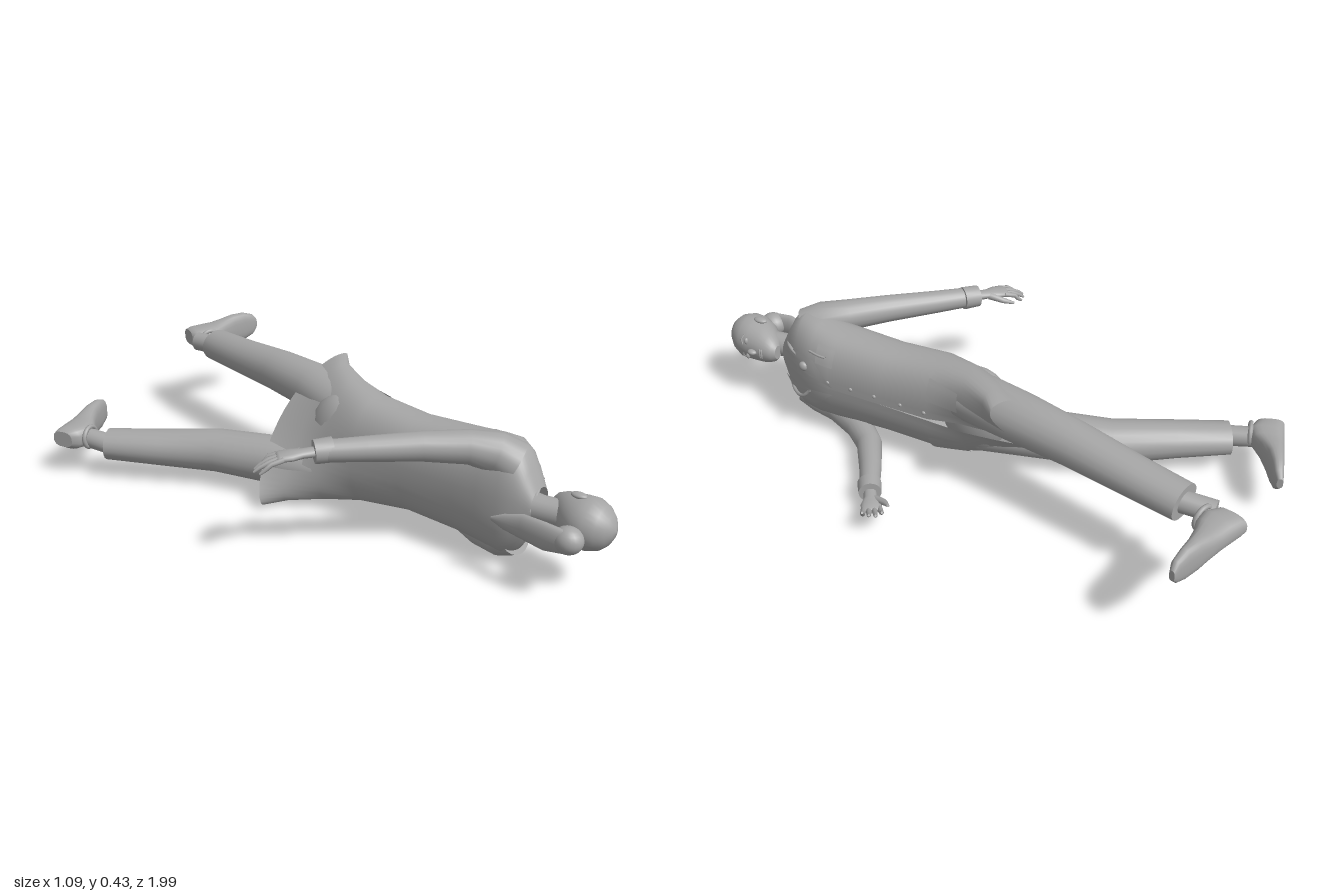
import * as THREE from 'three';

const V = (x, y, z) => new THREE.Vector3(x, y, z);
const CY = 0.225; // sideways middle of the reclining figure
const grey = new THREE.MeshStandardMaterial({ color: 0xa6a6a6, side: THREE.DoubleSide });
grey.name = 'plain grey';

// Indexed surface over a grid of points; fn(i, j) gives each point
function grid(rows, cols, fn, wrap, caps) {
  const pos = [], idx = [];
  for (let i = 0; i < rows; i++) for (let j = 0; j < cols; j++) pos.push(...fn(i, j).toArray());
  const last = wrap ? cols : cols - 1;
  for (let i = 0; i < rows - 1; i++) for (let j = 0; j < last; j++) {
    const a = i * cols + j, b = i * cols + (j + 1) % cols;
    idx.push(a, b, b + cols, a, b + cols, a + cols);
  }
  if (caps) for (const i of [0, rows - 1]) {
    const start = pos.length / 3, mid = V(0, 0, 0);
    for (let j = 0; j < cols; j++) { const p = fn(i, j); mid.addScaledVector(p, 1 / cols); pos.push(...p.toArray()); }
    pos.push(...mid.toArray());
    for (let j = 0; j < cols; j++) {
      const a = start + j, b = start + (j + 1) % cols;
      idx.push(start + cols, ...(i ? [a, b] : [b, a]));
    }
  }
  const g = new THREE.BufferGeometry();
  g.setAttribute('position', new THREE.Float32BufferAttribute(pos, 3));
  g.setIndex(idx);
  g.computeVertexNormals();
  return g;
}

// Loft through rings [x, y, z, radiusU, radiusV]; up is the V direction
function loft(rings, { up = V(0, 1, 0), dir = null, power = 1, sides = 20 } = {}) {
  const c = rings.map(r => V(r[0], r[1], r[2])), n = rings.length;
  const pw = s => Math.sign(s) * Math.abs(s) ** power;
  return grid(n, sides, (i, j) => {
    const t = dir || c[Math.min(i + 1, n - 1)].clone().sub(c[Math.max(i - 1, 0)]).normalize();
    const u = up.clone().cross(t).normalize(), v = t.clone().cross(u), a = j / sides * Math.PI * 2;
    const [, , , ru, rv = ru] = rings[i];
    return c[i].clone().addScaledVector(u, ru * pw(Math.cos(a))).addScaledVector(v, rv * pw(Math.sin(a)));
  }, true, true);
}

// Coat sections, hem to collar: z, back x, front x, half width, shear, front gap
const COAT = [
  [-0.22, -0.10, 0.10, 0.205, 1.0, 0.14], [-0.11, -0.105, 0.11, 0.2, 0.68, 0.12],
  [0, -0.11, 0.12, 0.19, 0.32, 0.08], [0.12, -0.115, 0.13, 0.175, 0.08, 0.01],
  [0.3, -0.105, 0.128, 0.16, 0, 0], [0.5, -0.11, 0.13, 0.17, 0, 0],
  [0.58, -0.112, 0.12, 0.18, 0, 0], [0.65, -0.11, 0.095, 0.188, 0, 0],
  [0.69, -0.1, 0.075, 0.165, 0, 0], [0.72, -0.09, 0.055, 0.115, 0, 0],
  [0.75, -0.078, 0.03, 0.06, 0, 0],
];
function coatFront(z, y) {
  let i = 0;
  while (i < COAT.length - 2 && COAT[i + 1][0] < z) i++;
  const k = (z - COAT[i][0]) / (COAT[i + 1][0] - COAT[i][0]);
  const [, b, f, w, s] = COAT[i].map((v, n) => v + (COAT[i + 1][n] - v) * k);
  const q = Math.min(Math.abs(y - CY) / w, 1) ** (1 / 0.85);
  return (b + f) / 2 + (f - b) / 2 * Math.sqrt(1 - q * q) ** 0.85 + s * (y - CY);
}
function coatBody() {
  const pw = s => Math.sign(s) * Math.abs(s) ** 0.85;
  return grid(COAT.length, 49, (i, j) => {
    const [z, b, f, w, s, gap] = COAT[i], a = gap + (Math.PI * 2 - 2 * gap) * j / 48;
    const dy = w * pw(Math.sin(a)), x = (b + f) / 2 + (f - b) / 2 * pw(Math.cos(a)) + s * dy;
    return V(x, CY + dy, i ? z : z + 1.3 * x * dy); // hem tilts with each leg
  });
}
// Thin panel lying on the coat front; corners are [z, y]
function panel(corners, lift = 0.008) {
  return grid(6, 6, (i, j) => {
    const m = (n) => THREE.MathUtils.lerp(
      THREE.MathUtils.lerp(corners[0][n], corners[1][n], j / 5),
      THREE.MathUtils.lerp(corners[3][n], corners[2][n], j / 5), i / 5);
    return V(coatFront(m(0), m(1)) + lift, m(1), m(0));
  });
}

export function createModel() {
  const root = new THREE.Group();
  const add = (name, geo, pos) => {
    const m = new THREE.Mesh(geo, grey);
    m.name = name;
    if (pos) m.position.set(...pos);
    root.add(m);
    return m;
  };
  const ball = (name, pos, scale) => add(name, new THREE.SphereGeometry(1, 20, 14), pos).scale.set(...scale);
  const tube = (name, pts, r) => add(name, new THREE.TubeGeometry(
    new THREE.CatmullRomCurve3(pts.map(p => V(...p))), 40, r, 8));

  // Coat with lapels, pockets and buttons
  add('coat', coatBody());
  for (const s of [-1, 1]) {
    const y = d => CY + s * d;
    add('lapel', panel([[0.72, y(0.05)], [0.64, y(0.1)], [0.56, y(0.09)], [0.48, y(0.015)]]));
    add('hipPocket', panel([[0.12, y(0.08)], [0.12, y(0.15)], [0.0, y(0.15)], [0.0, y(0.08)]]));
  }
  add('breastPocket', panel([[0.55, 0.31], [0.55, 0.37], [0.48, 0.37], [0.48, 0.31]]));
  tube('pen', [[0.118, 0.35, 0.57], [0.128, 0.35, 0.53], [0.13, 0.35, 0.5]], 0.004);
  for (const z of [0.5, 0.41, 0.32, 0.22, 0.13]) {
    ball('button', [coatFront(z, 0.25), 0.25, z], [0.005, 0.007, 0.007]);
  }

  // Listening tube around the neck
  tube('neckTube', [[0.1, 0.28, 0.6], [0.085, 0.31, 0.67], [0.0, 0.285, 0.735], [-0.075, CY, 0.745],
    [0.0, 0.165, 0.735], [0.09, 0.15, 0.67], [0.14, 0.17, 0.6], [0.14, 0.2, 0.57]], 0.006);
  ball('chestPiece', [0.12, 0.28, 0.6], [0.012, 0.017, 0.017]);

  // Neck and head
  add('neck', loft([[-0.035, CY, 0.7, 0.05], [-0.03, CY, 0.76, 0.042], [-0.02, CY, 0.84, 0.042]]));
  const skull = [[0.775, 0.005, 0.045, 0.025], [0.787, -0.02, 0.058, 0.04], [0.815, -0.05, 0.064, 0.056],
    [0.85, -0.085, 0.063, 0.068], [0.89, -0.106, 0.06, 0.077], [0.925, -0.107, 0.057, 0.08],
    [0.96, -0.093, 0.038, 0.068], [0.983, -0.072, 0.015, 0.047], [0.996, -0.048, -0.008, 0.022], [1, -0.03, -0.026, 0.003]];
  add('head', loft(skull.map(([z, b, f, w]) => [(b + f) / 2, CY, z, (f - b) / 2, w]), { dir: V(0, 0, 1), sides: 28 }));
  ball('nose', [0.064, CY, 0.858], [0.014, 0.01, 0.018]);
  for (const z of [0.826, 0.819]) ball('lip', [0.062, CY, z], [0.006, 0.02, 0.004]);
  for (const s of [-1, 1]) {
    ball('eye', [0.052, CY + s * 0.03, 0.887], [0.009, 0.013, 0.007]);
    tube('brow', [[0.056, CY + s * 0.015, 0.902], [0.053, CY + s * 0.032, 0.907], [0.04, CY + s * 0.048, 0.901]], 0.003);
    ball('ear', [-0.025, CY + s * 0.078, 0.875], [0.016, 0.009, 0.026]);
  }
  // Tied hair at the back of the head
  ball('hairKnot', [-0.135, 0.215, 0.905], [0.042, 0.042, 0.047]);
  add('ponytail', loft([[-0.15, 0.215, 0.92, 0.02, 0.035], [-0.152, 0.213, 0.84, 0.02, 0.045],
    [-0.135, 0.21, 0.76, 0.02, 0.04], [-0.142, 0.21, 0.7, 0.012, 0.025], [-0.147, 0.21, 0.66, 0.003, 0.006]]));

  // Arms: sleeves, cuffs and hands
  const arms = [
    { side: 'left', sleeve: [[-0.02, 0.34, 0.66, 0.07], [-0.045, 0.37, 0.61, 0.064], [-0.09, 0.385, 0.54, 0.053],
      [-0.18, 0.39, 0.435, 0.046], [-0.29, 0.388, 0.315, 0.039], [-0.395, 0.386, 0.205, 0.033]],
      tip: [-0.535, 0.347, 0.09], curl: -0.03 },
    { side: 'right', sleeve: [[-0.005, 0.1, 0.66, 0.07], [0.0, 0.07, 0.61, 0.062], [0.02, 0.06, 0.53, 0.053],
      [0.075, 0.055, 0.42, 0.047], [0.15, 0.06, 0.335, 0.043], [0.26, 0.065, 0.265, 0.037], [0.37, 0.07, 0.2, 0.031]],
      tip: [0.495, 0.1, 0.115], curl: 0.03 },
  ];
  for (const { side, sleeve, tip, curl } of arms) {
    add(side + 'Sleeve', loft(sleeve));
    const w = V(...sleeve.at(-1)), f = V(...tip).sub(w).setY(0), len = f.length();
    f.normalize();
    const across = V(-f.z, 0, f.x), lift = tip[1] - w.y - curl;
    const at = (d, s, h) => w.clone().addScaledVector(f, d * len).addScaledVector(across, s).setY(w.y + lift * d + h).toArray();
    add(side + 'Cuff', loft([[...at(-0.28, 0, 0), 0.039], [...at(0.03, 0, 0), 0.037]]));
    add(side + 'Palm', loft([[...at(-0.05, 0, 0), 0.02, 0.016], [...at(0.22, 0, 0), 0.022, 0.014],
      [...at(0.4, 0, 0), 0.033, 0.015], [...at(0.6, 0, 0), 0.034, 0.012], [...at(0.64, 0, 0), 0.025, 0.006]], { sides: 14 }));
    for (let k = 0; k < 4; k++) {
      const s = (k - 1.5) * 0.017, e = [0.95, 1.03, 1, 0.9][k];
      add(side + 'Finger', loft([[...at(0.55, s, 0), 0.009], [...at(0.75, s * 1.15, curl * 0.25), 0.008],
        [...at(0.9 * e, s * 1.2, curl * 0.7), 0.007], [...at(e, s * 1.2, curl * 1.1), 0.004]], { sides: 8 }));
    }
    const ts = Math.sign(-across.z) || 1;
    add(side + 'Thumb', loft([[...at(0.25, ts * 0.015, 0), 0.013], [...at(0.48, ts * 0.043, curl * 0.4), 0.01],
      [...at(0.68, ts * 0.052, curl * 0.8), 0.005]], { sides: 8 }));
  }

  // Hips, striding legs, ankles and shoes
  ball('hips', [0, CY, 0.0], [0.085, 0.16, 0.13]);
  const legs = [
    { side: 'left', trouser: [[0.05, 0.315, 0, 0.095, 0.08], [0.105, 0.33, -0.2, 0.088, 0.08], [0.15, 0.33, -0.4, 0.077, 0.073],
      [0.2, 0.32, -0.62, 0.07, 0.062], [0.238, 0.315, -0.787, 0.066, 0.057]],
      ankle: [0.23, 0.31, -0.88], heel: [0.26, 0.31, -0.98], fwd: V(0.92, 0, 0.39) },
    { side: 'right', trouser: [[-0.03, 0.135, 0, 0.095, 0.08], [-0.105, 0.125, -0.25, 0.088, 0.08], [-0.158, 0.125, -0.42, 0.078, 0.075],
      [-0.265, 0.125, -0.6, 0.07, 0.062], [-0.354, 0.125, -0.76, 0.064, 0.053]],
      ankle: [-0.385, 0.14, -0.86], heel: [-0.467, 0.145, -0.915], fwd: V(0.97, 0, -0.25) },
  ];
  for (const { side, trouser, ankle, heel, fwd } of legs) {
    add(side + 'TrouserLeg', loft(trouser));
    const end = trouser.at(-1);
    add(side + 'Ankle', loft([[end[0], end[1], end[2] + 0.03, 0.035], [...ankle, 0.034]]));
    const up = V(-fwd.z, 0, fwd.x);
    // forward distance, height, half width
    const shoe = [[0, 0.075, 0.028], [0.015, 0.1, 0.038], [0.06, 0.118, 0.042], [0.1, 0.105, 0.042],
      [0.14, 0.08, 0.047], [0.19, 0.058, 0.055], [0.24, 0.044, 0.054], [0.28, 0.034, 0.04], [0.3, 0.02, 0.018]];
    add(side + 'Shoe', loft(shoe.map(([d, h, w]) => [...V(...heel).addScaledVector(fwd, d)
      .addScaledVector(up, h / 2).toArray(), w, h / 2]), { up, dir: fwd.clone().normalize(), power: 0.75, sides: 24 }));
    const top = V(...heel).addScaledVector(fwd, 0.058).addScaledVector(up, 0.112);
    const collar = add(side + 'ShoeCollar', new THREE.TorusGeometry(0.036, 0.008, 8, 24), top.toArray());
    collar.lookAt(top.clone().add(up));
  }
  return root;
}
